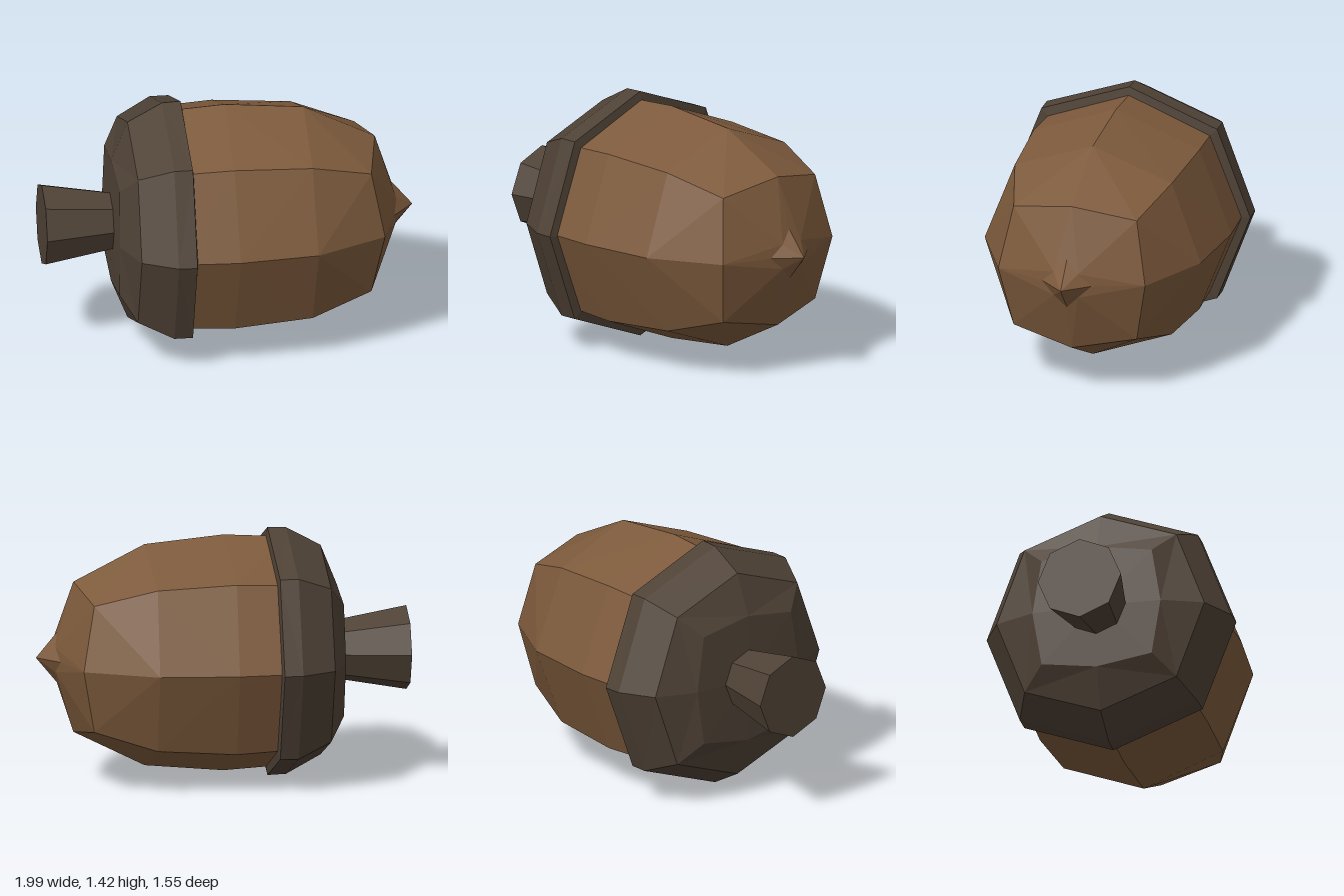
import * as THREE from 'three';

const SIDES = 8;

// Skin of eight-sided rings, listed from low to high along y.
// Each ring: [height, radius] of the even corners, then of the odd (diagonal) corners.
function ringSkin(rings) {
  const corner = ([h, r, hOdd = h, rOdd = r], i) => {
    const a = (i / SIDES) * Math.PI * 2;
    const odd = i % 2 === 1;
    const radius = odd ? rOdd : r;
    return [Math.sin(a) * radius, odd ? hOdd : h, Math.cos(a) * radius];
  };
  const positions = [];
  for (let k = 0; k < rings.length - 1; k++) {
    const low = rings[k], high = rings[k + 1];
    for (let i = 0; i < SIDES; i++) {
      const a = corner(low, i), b = corner(low, i + 1);
      const c = corner(high, i + 1), d = corner(high, i);
      // split quads along the even corners so each diagonal corner stays crisp
      const tris = i % 2 ? [[a, b, d], [b, c, d]] : [[a, b, c], [a, c, d]];
      if (low[1] === 0) positions.push(...a, ...c, ...d);
      else if (high[1] === 0) positions.push(...a, ...b, ...c);
      else positions.push(...tris.flat(2));
    }
  }
  const geometry = new THREE.BufferGeometry();
  geometry.setAttribute('position', new THREE.Float32BufferAttribute(positions, 3));
  geometry.computeVertexNormals();
  return geometry;
}

export function createModel() {
  const nutMaterial = new THREE.MeshStandardMaterial({ color: 0x7d5a3c, flatShading: true });
  const capMaterial = new THREE.MeshStandardMaterial({ color: 0x4f4236, flatShading: true });

  const acorn = new THREE.Group();
  acorn.name = 'acorn';
  const add = (name, geometry, material) => {
    const mesh = new THREE.Mesh(geometry, material);
    mesh.name = name;
    acorn.add(mesh);
    return mesh;
  };

  // Nut: barrel shape with a blunt end
  add('nut', ringSkin([
    [-0.3, 0],
    [-0.3, 0.655, -0.3, 0.665],
    [0.04, 0.675, 0.03, 0.686],
    [0.485, 0.633, 0.475, 0.65],
    [0.888, 0.43, 0.82, 0.51],
    [0.98, 0.145, 1.0, 0.1],
    [1.02, 0],
  ]), nutMaterial);

  // Small pointed tip with four facets
  add('tip', ringSkin([
    [0.98, 0.145, 1.0, 0.1],
    [1.1, 0],
  ]), nutMaterial);

  // Cap with a turned-in rim
  add('cap', ringSkin([
    [-0.615, 0],
    [-0.603, 0.37, -0.598, 0.45],
    [-0.51, 0.6, -0.51, 0.62],
    [-0.315, 0.706, -0.315, 0.728],
    [-0.21, 0.71, -0.21, 0.728],
    [-0.19, 0.6],
  ]), capMaterial);

  // Stem flaring towards its cut end
  const stem = add('stem', new THREE.CylinderGeometry(0.165, 0.24, 0.415, SIDES), capMaterial);
  stem.position.y = -0.7875;

  // Lay the acorn on its side, turned a little
  acorn.rotation.set(0, 0.449, -Math.PI / 2);
  acorn.position.y = 0.715;

  const model = new THREE.Group();
  model.name = 'model';
  model.add(acorn);
  return model;
}
